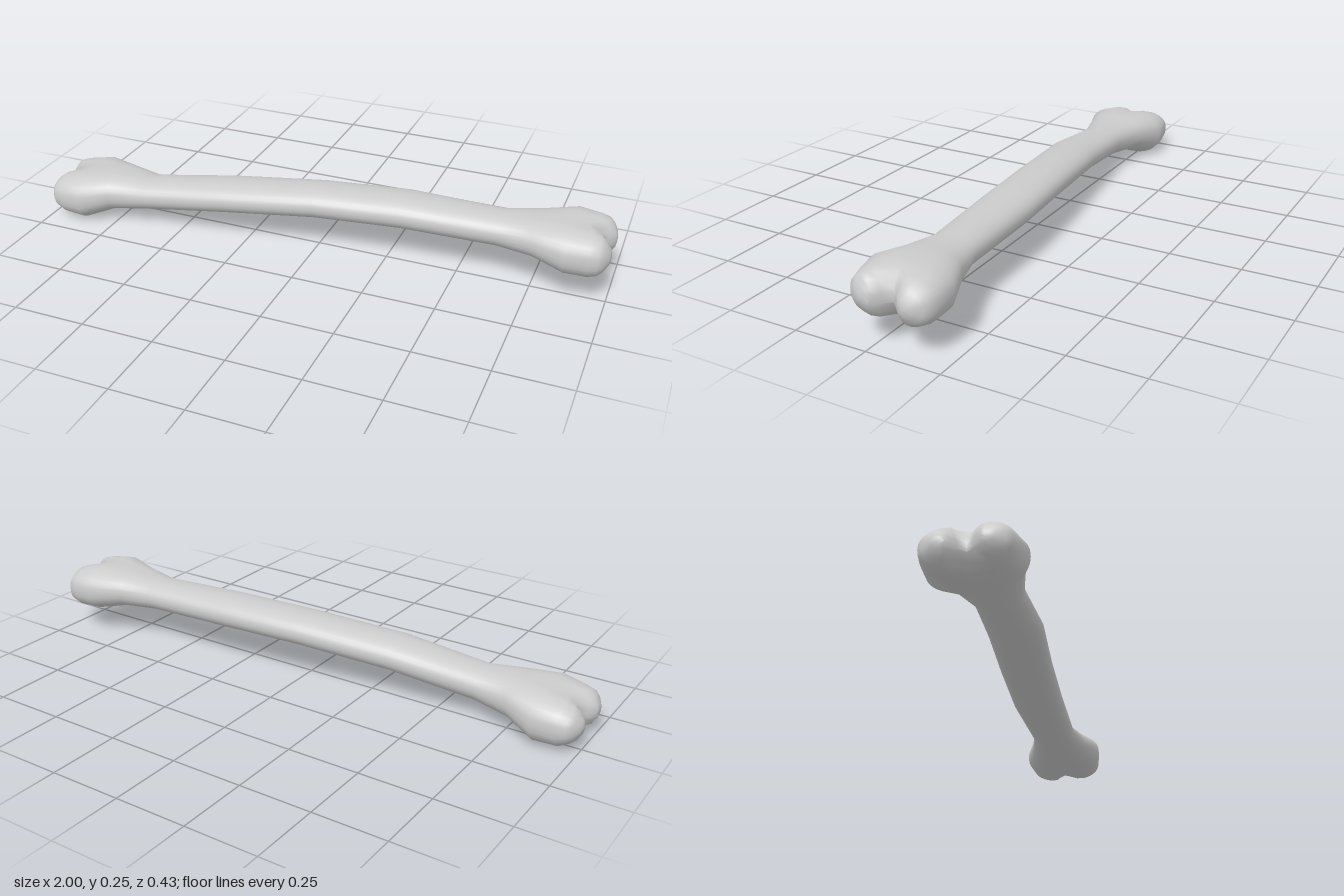
import * as THREE from 'three';
import { mergeVertices } from 'three/addons/utils/BufferGeometryUtils.js';

const SIDES = 32;

// Cross-sections along the bone: [x, zMin, zMax, yMin, yMax, knob]
// knob runs 0 (oval shaft) to 1 (wide, cleft knuckle)
const SHAFT = [
  [-0.97, -0.08, 0.19, 0.022, 0.15, 1],
  [-0.94, -0.085, 0.197, 0.005, 0.16, 1],
  [-0.86, -0.095, 0.21, 0.0, 0.178, 0.7],
  [-0.76, -0.055, 0.17, 0.04, 0.178, 0.3],
  [-0.63, -0.022, 0.137, 0.055, 0.168, 0],
  [-0.33, -0.06, 0.125, 0.095, 0.206, 0],
  [0, -0.105, 0.08, 0.12, 0.23, 0],
  [0.3, -0.135, 0.05, 0.126, 0.238, 0],
  [0.63, -0.136, 0.027, 0.12, 0.23, 0],
  [0.75, -0.17, 0.05, 0.115, 0.243, 0.3],
  [0.86, -0.215, 0.087, 0.09, 0.258, 0.7],
  [0.935, -0.209, 0.073, 0.088, 0.247, 1],
  [0.965, -0.203, 0.066, 0.097, 0.238, 1],
];

// Rounded end: the last section shrinks towards a short line; [xOut, zScale, yScale]
const CAP = [[0.016, 0.88, 0.8], [0.03, 0.68, 0.45], [0.033, 0.58, 0.2], [0.034, 0.5, 0]];

function capSections(end, dir) {
  const [x, z0, z1, y0, y1] = end;
  const zc = (z0 + z1) / 2, yc = (y0 + y1) / 2;
  return CAP.map(([dx, sz, sy]) => [
    x + dir * dx,
    zc + (z0 - zc) * sz, zc + (z1 - zc) * sz,
    yc + (y0 - yc) * sy, yc + (y1 - yc) * sy, 1, sz,
  ]);
}

const power = (v, e) => Math.sign(v) * Math.abs(v) ** e;

function boneGeometry() {
  const sections = [
    ...capSections(SHAFT[0], -1).reverse(),
    ...SHAFT,
    ...capSections(SHAFT[SHAFT.length - 1], 1),
  ];
  const positions = [], index = [];
  sections.forEach(([x, z0, z1, y0, y1, knob, scale = 1], i) => {
    for (let j = 0; j < SIDES; j++) {
      const a = (j / SIDES) * Math.PI * 2;
      const u = power(Math.cos(a), 0.92 - 0.22 * knob);
      const v = power(Math.sin(a), 0.92 - 0.12 * knob);
      // Cleft between the two lobes, deepest on the end face
      const cleft = Math.max(0, 1 - Math.abs(u * scale) / 0.38);
      const notch = Math.abs(x) > 0.95 ? 0.05 : Math.abs(x) > 0.9 ? 0.025 : 0;
      const groove = 0.012 * cleft * knob * (v < 0 ? -v : -0.4 * v);
      positions.push(
        x - Math.sign(x) * notch * cleft,
        (y0 + y1) / 2 + (v * (y1 - y0)) / 2 + (y1 - y0 > 0.05 ? groove : 0),
        (z0 + z1) / 2 + (u * (z1 - z0)) / 2,
      );
      if (i < sections.length - 1) {
        const k = (j + 1) % SIDES;
        const p = i * SIDES + j, q = i * SIDES + k;
        index.push(p, p + SIDES, q + SIDES, p, q + SIDES, q);
      }
    }
  });
  let geometry = new THREE.BufferGeometry();
  geometry.setAttribute('position', new THREE.Float32BufferAttribute(positions, 3));
  geometry.setIndex(index);
  geometry = mergeVertices(geometry, 1e-4);
  geometry.computeVertexNormals();
  return geometry;
}

export function createModel() {
  const group = new THREE.Group();
  group.name = 'bone';
  const material = new THREE.MeshStandardMaterial({ color: 0xcccccc });
  const bone = new THREE.Mesh(boneGeometry(), material);
  bone.name = 'boneShaftAndKnuckles';
  group.add(bone);
  return group;
}
